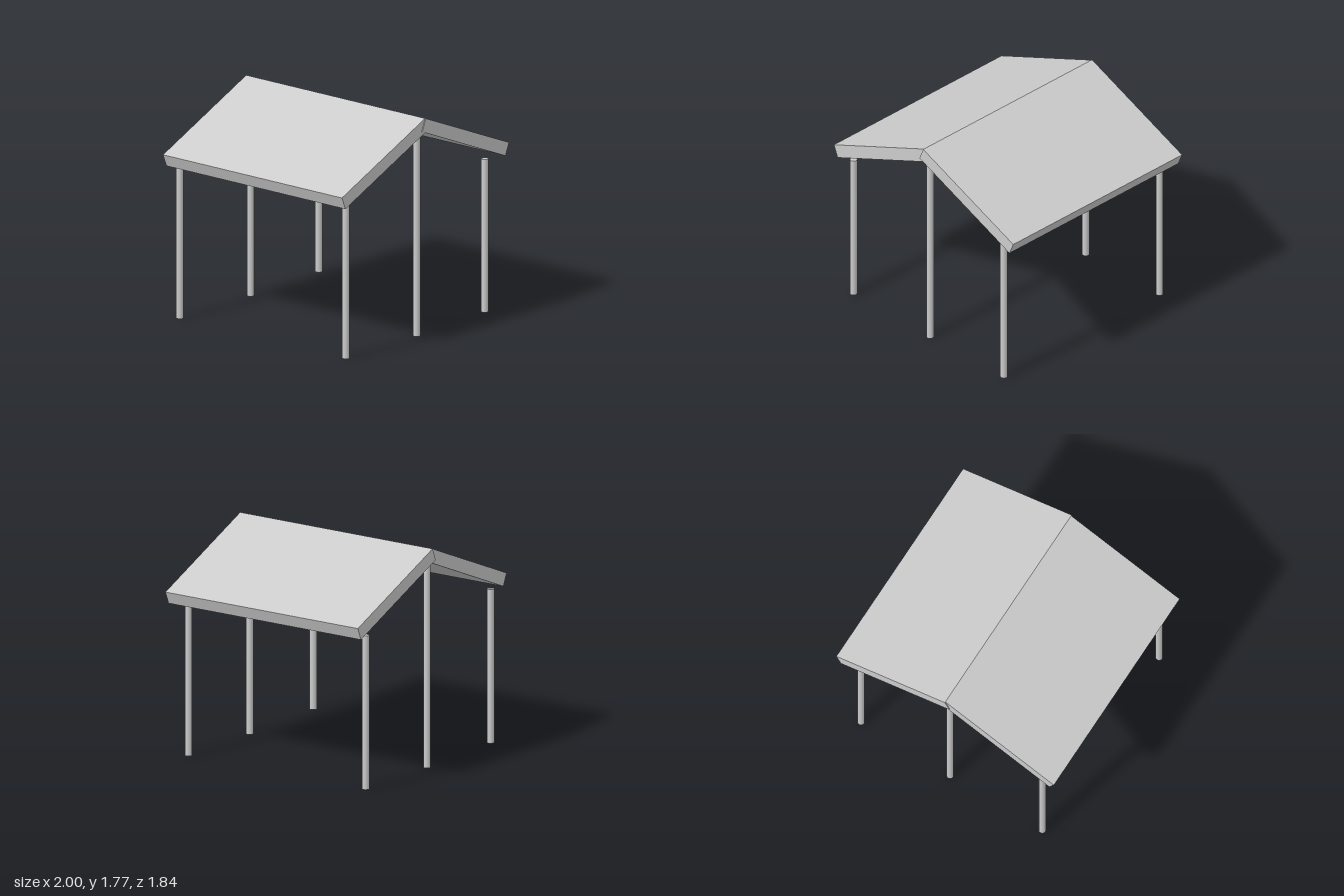
import * as THREE from 'three';

const material = new THREE.MeshStandardMaterial({ color: 0xcccccc });

export function createModel() {
  const shelter = new THREE.Group();
  shelter.name = 'shelter';

  // Two sloping slabs that meet at the ridge, cut square at both ends
  const ridgeY = 1.775, run = 1, drop = 0.42, thickness = 0.108;
  const slope = Math.atan2(drop, run);
  const length = Math.hypot(run, drop);
  const addRoofPanel = (name, side, depth) => {
    const slab = new THREE.BoxGeometry(length, thickness, depth);
    slab.translate(side * length / 2, -thickness / 2, 0);
    const panel = new THREE.Mesh(slab, material);
    panel.name = name;
    panel.position.y = ridgeY;
    panel.rotation.z = -side * slope;
    shelter.add(panel);
  };
  addRoofPanel('leftRoofPanel', 1, 1.84);
  addRoofPanel('rightRoofPanel', -1, 1.826);

  // Three round posts at each gable end, the middle one taller
  const posts = [
    { name: 'LeftPost', x: 0.81, bottom: 0.01, top: 1.25 },
    { name: 'RidgePost', x: -0.01, bottom: 0, top: 1.625 },
    { name: 'RightPost', x: -0.86, bottom: 0.01, top: 1.25 },
  ];
  for (const [end, z] of [['front', 0.835], ['back', -0.86]]) {
    for (const { name, x, bottom, top } of posts) {
      const post = new THREE.Mesh(
        new THREE.CylinderGeometry(0.029, 0.029, top - bottom, 16), material);
      post.name = end + name;
      post.position.set(x, (top + bottom) / 2, z);
      shelter.add(post);
    }
  }
  return shelter;
}
